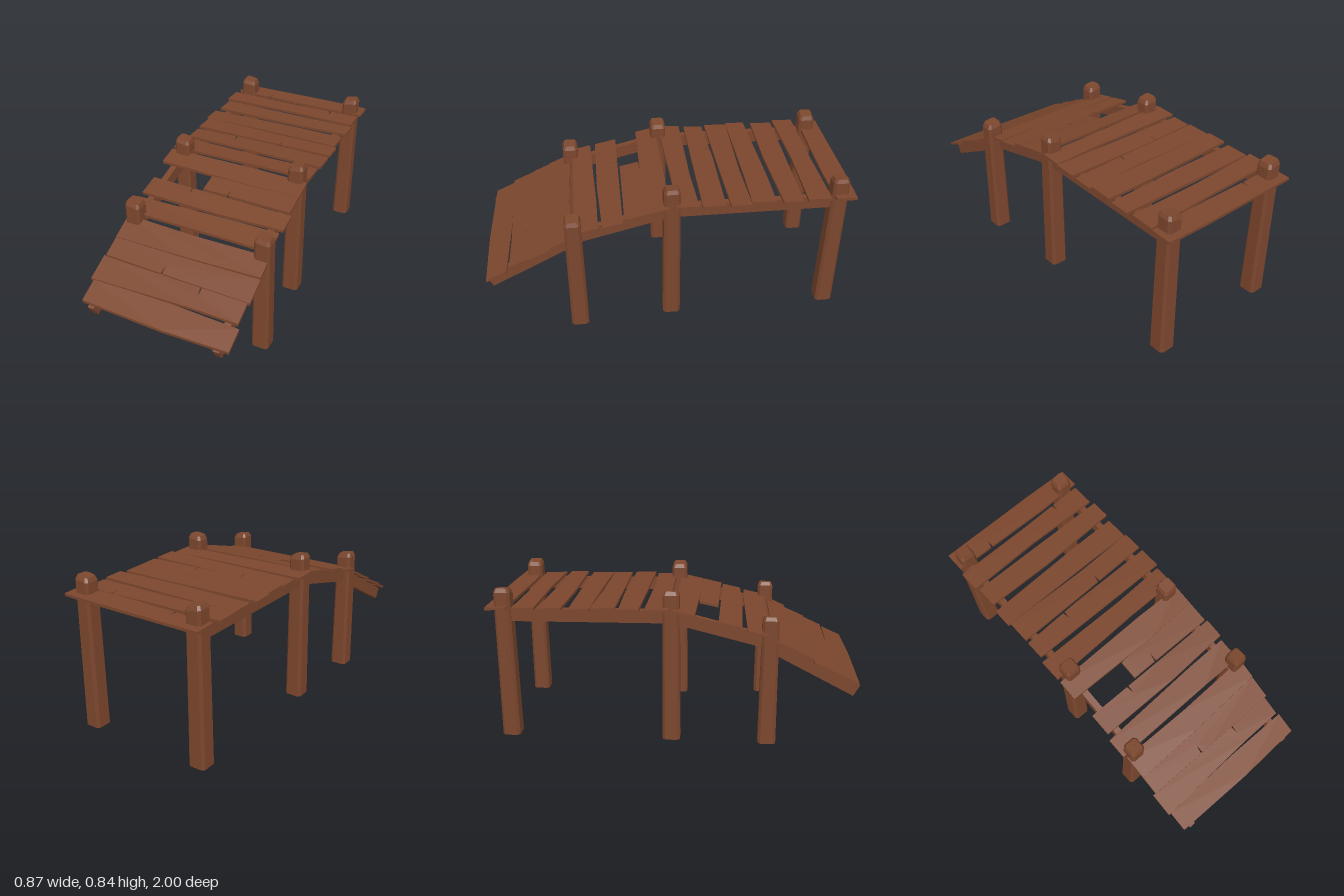
import * as THREE from 'three';

const wood = new THREE.MeshStandardMaterial({ color: 0x7b462d });
wood.name = 'brownWood';

const THICK = 0.015;

// Deck sections: ends of the rail-top line, tilt of each plank, plank centres along z
const sections = [
  { name: 'lowerRamp', zf: 1, yf: 0.345, zb: 0.5, yb: 0.607, lift: 0.07, planks: [0.935, 0.811, 0.697, 0.585] },
  { name: 'upperRamp', zf: 0.5, yf: 0.612, zb: 0, yb: 0.738, lift: 0.04, planks: [0.448, 0.307, 0.182, 0.063] },
  { name: 'platform', zf: 0, yf: 0.738, zb: -0.95, yb: 0.733, lift: 0.03,
    planks: [-0.085, -0.23, -0.368, -0.494, -0.648, -0.792, -0.937] },
];

// Planks (counted from the front) that sit slightly towards the right, and the one broken short
const shifted = [1, 4, 7, 8, 11, 13];
const broken = 6;

// Small splits: x position, and which edge (1 front, -1 back)
const splits = { 1: [0.15, -1], 2: [-0.08, 1], 5: [-0.17, -1], 6: [0.04, 1], 9: [-0.16, -1], 10: [0.11, 1], 13: [0.23, -1], 14: [-0.2, 1] };

// Worn plank: bent outline with an optional split, laid along its section's slope
function plankGeometry(zc, section, index) {
  const x0 = index === broken ? -0.11 : shifted.includes(index) ? -0.435 : -0.42;
  const x1 = shifted.includes(index) || index === broken ? 0.407 : 0.42;
  const split = splits[index];
  const bend = 0.05 + 0.12 * Math.sin(index * 1.9);
  const edge = side => {
    const worn = x => side * 0.06 + 0.007 * Math.sin(index * 2.7 + side + x * 5);
    const points = [x0, bend, x1].map(x => new THREE.Vector2(x, zc + worn(x)));
    if (split && split[1] === side) {
      const [a, b, c] = points;
      const [p, q] = split[0] < bend ? [a, b] : [b, c];
      for (const [dx, depth] of [[-0.006, 0], [0.003, 0.05], [0.006, 0]]) {
        const v = p.clone().lerp(q, (split[0] + dx - p.x) / (q.x - p.x));
        v.y -= side * depth;
        points.push(v);
      }
    }
    return points.sort((a, b) => a.x - b.x);
  };
  const shape = new THREE.Shape([...edge(-1), ...edge(1).reverse()]);
  const geo = new THREE.ExtrudeGeometry(shape, { depth: THICK, bevelEnabled: false });
  geo.rotateX(Math.PI / 2);
  const { zf, yf, zb, yb, lift } = section;
  const slope = (yf - yb) / (zf - zb), roll = 0.006 * Math.sin(index * 2.3);
  const p = geo.attributes.position;
  for (let i = 0; i < p.count; i++) {
    const z = p.getZ(i);
    p.setY(i, p.getY(i) + yf + slope * (z - zf) + THICK + 0.002 + lift * (z - zc) + roll * p.getX(i));
  }
  geo.computeVertexNormals();
  return geo;
}

// Square post with chamfered corners and a slightly slanted, tapered top
function postGeometry(height, slant) {
  const half = 0.045, cut = 0.013;
  const cyl = new THREE.CylinderGeometry(1, 1, 1, 8, 2, false, Math.PI / 8);
  const p = cyl.attributes.position;
  const square = v => Math.abs(v) < 0.01 ? 0 : Math.sign(v) * (Math.abs(v) > 0.6 ? half : half - cut);
  for (let i = 0; i < p.count; i++) {
    const level = p.getY(i);
    const s = level > 0.4 ? 0.76 : level > -0.4 ? 0.97 : 1.08;
    const x = square(p.getX(i)) * s, z = square(p.getZ(i)) * s;
    const y = level > 0.4 ? height + slant * x : level > -0.4 ? height - 0.022 + slant * x : 0;
    p.setXYZ(i, x, y, z);
  }
  const geo = cyl.toNonIndexed();
  geo.computeVertexNormals();
  return geo;
}

export function createModel() {
  const model = new THREE.Group();
  model.name = 'woodenDock';
  const add = (parent, geo, name) => {
    const mesh = new THREE.Mesh(geo, wood);
    mesh.name = name;
    parent.add(mesh);
    return mesh;
  };

  // Deck sections: two side rails and a row of planks each
  let index = 0;
  for (const section of sections) {
    const { name, zf, yf, zb, yb, planks } = section;
    const group = new THREE.Group();
    group.name = name;
    model.add(group);
    for (const [side, x] of [['right', -0.365], ['left', 0.352]]) {
      const geo = new THREE.BoxGeometry(0.036, 0.07, Math.hypot(zf - zb, yf - yb));
      geo.translate(0, -0.035, 0);
      const rail = add(group, geo, side + 'Rail');
      rail.position.set(x, (yf + yb) / 2, (zf + zb) / 2);
      rail.rotation.x = Math.atan2(yb - yf, zf - zb);
    }
    for (const z of planks) add(group, plankGeometry(z, section, index++), 'plank' + index);
  }

  // Three pairs of posts
  const posts = [
    ['front', 0.515, 0.715, -0.37, 0.385, -0.14],
    ['middle', -0.01, 0.838, -0.355, 0.343, 0.14],
    ['back', -0.91, 0.838, -0.355, 0.343, 0.14],
  ];
  for (const [name, z, height, xRight, xLeft, slant] of posts) {
    add(model, postGeometry(height, -0.14), name + 'RightPost').position.set(xRight, 0, z);
    add(model, postGeometry(height, slant), name + 'LeftPost').position.set(xLeft, 0, z);
  }
  return model;
}
